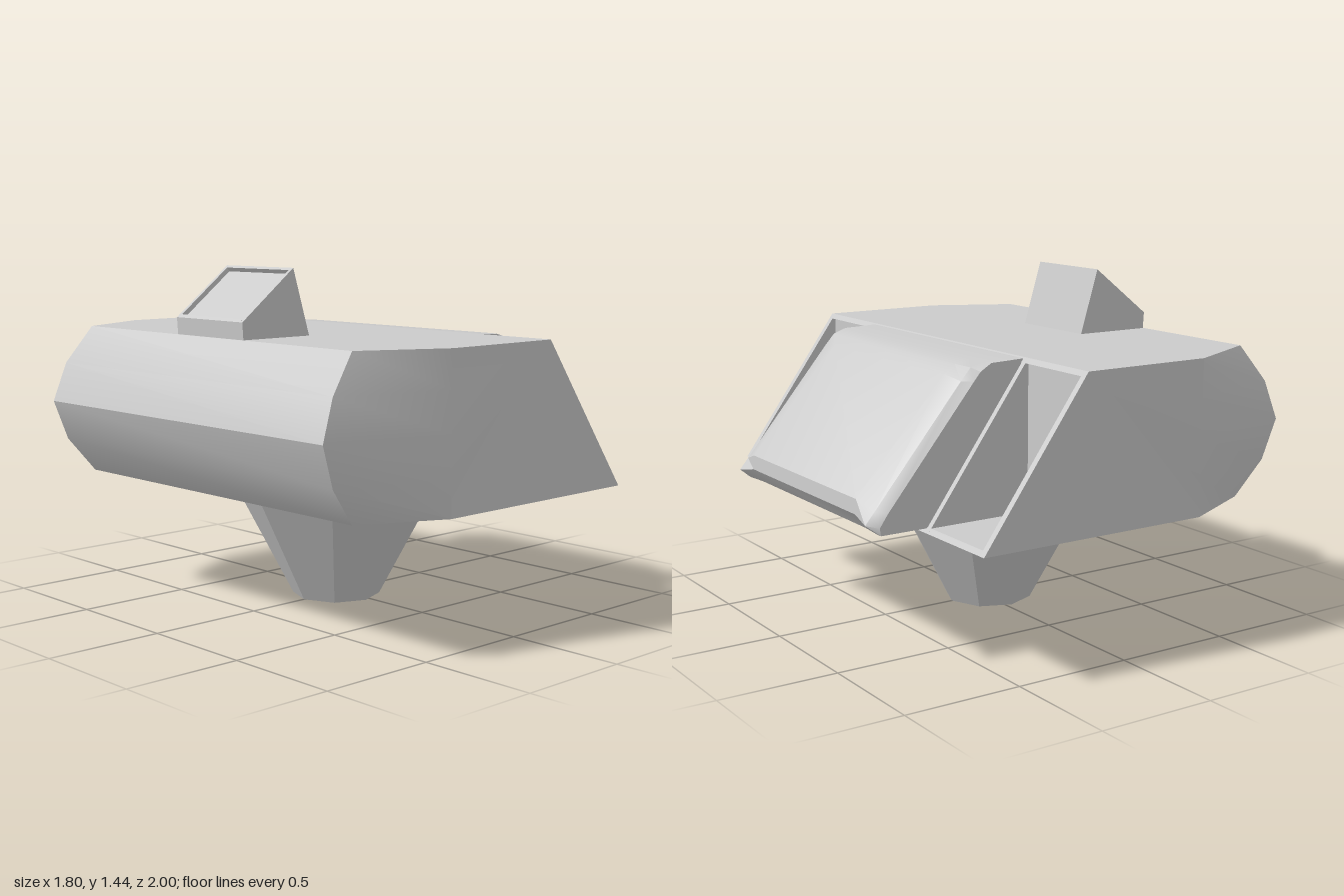
import * as THREE from 'three';
import { toCreasedNormals } from 'three/addons/utils/BufferGeometryUtils.js';

const material = new THREE.MeshStandardMaterial({ color: 0xcccccc });

function add(parent, name, geometry) {
  const mesh = new THREE.Mesh(geometry, material);
  mesh.name = name;
  parent.add(mesh);
  return mesh;
}

// Skin rings of [x, y, z] points (counter-clockwise from +z, ordered by z) and cap both ends.
function loft(rings, crease) {
  const pos = [];
  const tri = (...pts) => {
    const [a, b, c] = pts.map((p) => new THREE.Vector3(...p));
    if (b.clone().sub(a).cross(c.clone().sub(a)).length() > 1e-7) pts.forEach((p) => pos.push(...p));
  };
  const n = rings[0].length;
  for (let s = 0; s < rings.length - 1; s++) {
    for (let i = 0; i < n; i++) {
      const j = (i + 1) % n;
      tri(rings[s][i], rings[s][j], rings[s + 1][j]);
      tri(rings[s][i], rings[s + 1][j], rings[s + 1][i]);
    }
  }
  const first = rings[0], last = rings[rings.length - 1];
  for (let i = 1; i < n - 1; i++) {
    tri(first[0], first[i + 1], first[i]);
    tri(last[0], last[i], last[i + 1]);
  }
  const geometry = new THREE.BufferGeometry();
  geometry.setAttribute('position', new THREE.Float32BufferAttribute(pos, 3));
  return toCreasedNormals(geometry, crease);
}

// Extrude an x-y outline between two z values.
function slab(points, z0, z1) {
  const shape = new THREE.Shape(points.map((p) => new THREE.Vector2(...p)));
  return new THREE.ExtrudeGeometry(shape, { depth: z1 - z0, bevelEnabled: false }).translate(0, 0, z0);
}

const mirrorZ = (ring) => ring.map(([x, y, z]) => [x, y, -z]);

export function createModel() {
  const group = new THREE.Group();

  // Main body: rounded back, ends tapering in towards it
  const outline = [
    [0.195, 1.165, 1], [-0.37, 1.165, 1], [-0.72, 1.165, 0.83], [-0.84, 1.01, 0.857], [-0.9, 0.845, 0.87],
    [-0.84, 0.675, 0.857], [-0.72, 0.525, 0.83], [-0.37, 0.525, 1], [0.195, 0.525, 1],
  ];
  const end = outline.map(([x, y]) => [Math.max(x, -0.37), y, 1]);
  add(group, 'body', loft([mirrorZ(end), mirrorZ(outline), outline, end], 0.6));

  // Open wedge-shaped bays: floor, top lip and thin triangular walls
  const wedge = [[0.195, 0.525], [0.66, 0.525], [0.195, 1.165]];
  add(group, 'bayFloor', slab([[0.195, 0.525], [0.66, 0.525], [0.645, 0.545], [0.195, 0.545]], -1, 1));
  add(group, 'bayLip', slab([[0.195, 1.145], [0.21, 1.145], [0.195, 1.165]], -1, 1));
  for (const [z0, z1] of [[0.59, 0.615], [0.972, 1]]) {
    add(group, 'bayWallFront', slab(wedge, z0, z1));
    add(group, 'bayWallBack', slab(wedge, -z1, -z0));
  }

  // Central sloping block with chamfered sides and a slightly bulged face
  const section = (z, face) => [[0.19, 1.16], [0.19, 0.54], ...face].map(([x, y]) => [x, y, z]);
  const half = [
    section(0.45, [[0.84, 0.54], [0.885, 0.6], [0.88, 0.66], [0.48, 1.105], [0.43, 1.14], [0.36, 1.155]]),
    section(0.555, [[0.85, 0.54], [0.9, 0.58], [0.86, 0.627], [0.47, 1.09], [0.425, 1.14], [0.36, 1.155]]),
    section(0.587, [[0.85, 0.54], [0.855, 0.57], [0.82, 0.62], [0.43, 1.09], [0.4, 1.125], [0.35, 1.155]]),
  ];
  add(group, 'slopingBlock', loft([...half.map(mirrorZ).reverse(), ...half], 0.6));

  // Roof hood with a shallow recess in its slanted face
  const hood = new THREE.Group();
  hood.name = 'roofHood';
  group.add(hood);
  const base = [[-0.715, 1.16], [-0.37, 1.16], [-0.455, 1.44]];
  const corner = [-0.72, 1.235];
  const notch = [[-0.467, 1.431], [-0.455, 1.415], [-0.693, 1.231], [-0.705, 1.247]];
  add(hood, 'hoodCore', slab([...base, ...notch, corner], -0.195, 0.195));
  add(hood, 'hoodFrontCheek', slab([...base, corner], 0.195, 0.21));
  add(hood, 'hoodBackCheek', slab([...base, corner], -0.21, -0.195));

  // Eight-sided tapering foot
  const foot = new THREE.CylinderGeometry(0.47, 0.19, 0.53, 8).toNonIndexed();
  foot.computeVertexNormals();
  add(group, 'foot', foot).position.set(-0.027, 0.265, 0);

  return group;
}
